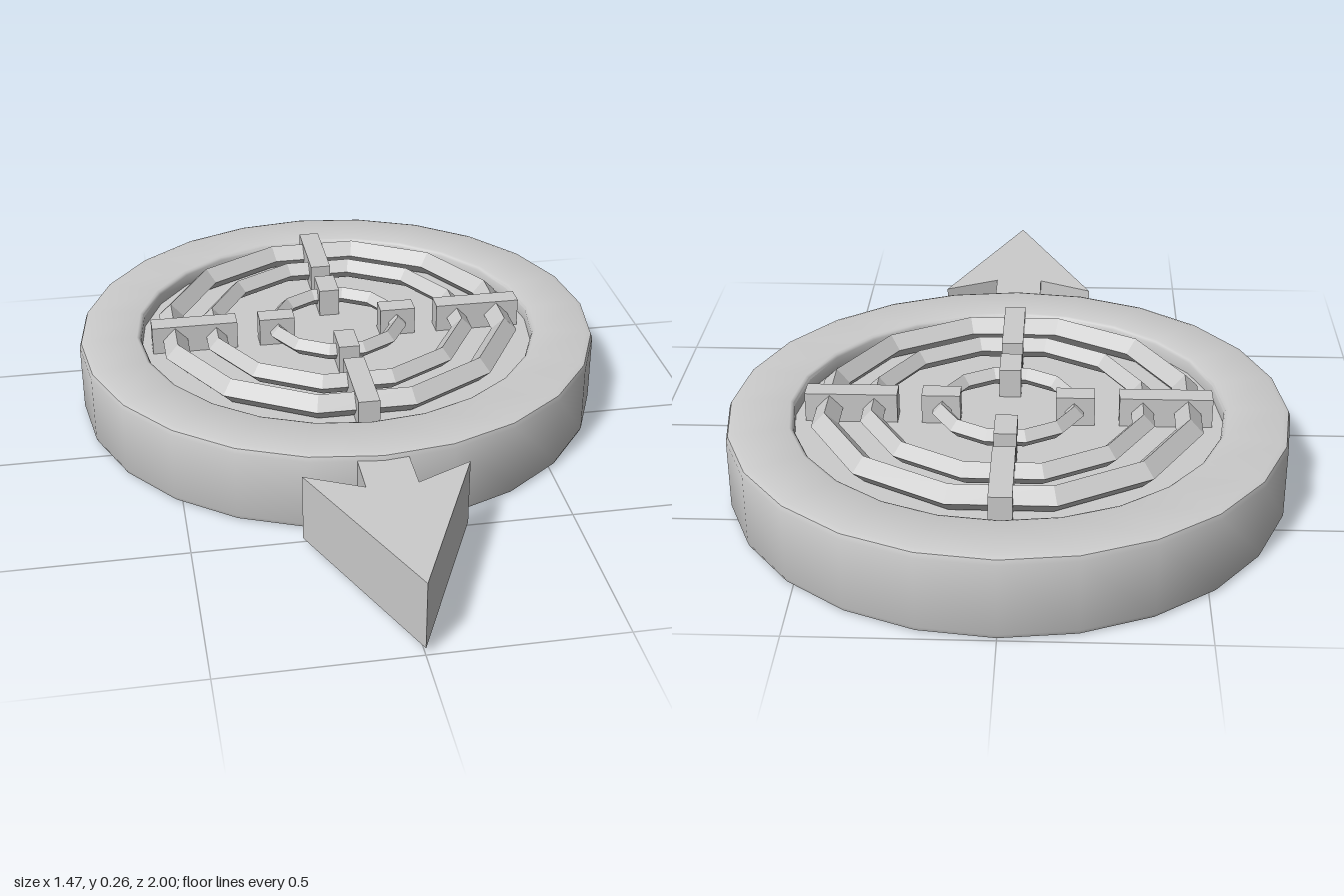
import * as THREE from 'three';
import { toCreasedNormals } from 'three/addons/utils/BufferGeometryUtils.js';

const CENTRE_Z = -0.263;
const smooth = new THREE.MeshStandardMaterial({ color: 0xcccccc });
const faceted = new THREE.MeshStandardMaterial({ color: 0xcccccc, flatShading: true });

function addMesh(parent, name, geometry, material = faceted) {
  const mesh = new THREE.Mesh(geometry, material);
  mesh.name = name;
  parent.add(mesh);
  return mesh;
}

export function createModel() {
  const model = new THREE.Group();
  model.name = 'compassDisc';

  const disc = new THREE.Group();
  disc.name = 'disc';
  disc.position.z = CENTRE_Z;
  model.add(disc);

  // Disc body: closed bottom, softened rim and a shallow recess on top
  const profile = [
    [0, 0], [0.72, 0], [0.732, 0.004], [0.737, 0.016],
    [0.737, 0.204], [0.732, 0.217], [0.718, 0.222],
    [0.575, 0.222], [0.567, 0.219], [0.563, 0.212], [0.563, 0.18], [0, 0.18],
  ].map(([x, y]) => new THREE.Vector2(x, y));
  const body = toCreasedNormals(new THREE.LatheGeometry(profile, 24), 0.85);
  addMesh(disc, 'discBody', body, smooth);

  // Concentric twelve-sided rings with a diamond section: [apothem, tube radius]
  [[0.467, 0.036], [0.35, 0.03], [0.172, 0.025]].forEach(([apothem, tube], i) => {
    const ring = new THREE.TorusGeometry(apothem / Math.cos(Math.PI / 12), tube, 4, 12);
    ring.rotateZ(Math.PI / 12).rotateX(Math.PI / 2);
    addMesh(disc, `ring${i + 1}`, ring).position.y = 0.22;
  });

  // Cross bars over the rings, one long and one short on each quarter
  for (let i = 0; i < 4; i++) {
    const quarter = new THREE.Group();
    quarter.name = `crossBars${i + 1}`;
    quarter.rotation.y = (i * Math.PI) / 2;
    disc.add(quarter);
    for (const [name, inner, outer] of [['longBar', 0.29, 0.532], ['shortBar', 0.125, 0.226]]) {
      const bar = new THREE.BoxGeometry(0.058, 0.085, outer - inner);
      addMesh(quarter, name, bar).position.set(0, 0.2175, (inner + outer) / 2);
    }
  }

  // Arrow pointing forward, its stem running into the disc
  const half = [[0.067, 0.4], [0.067, 0.585], [0.215, 0.513]];
  const outline = [
    ...half, [0, 1], ...half.map(([x, z]) => [-x, z]).reverse(),
  ].map(([x, z]) => new THREE.Vector2(x, -z));
  const arrow = new THREE.ExtrudeGeometry(new THREE.Shape(outline), {
    depth: 0.185, bevelEnabled: false,
  });
  arrow.rotateX(-Math.PI / 2);
  addMesh(model, 'arrow', arrow).position.y = 0.02;

  return model;
}
